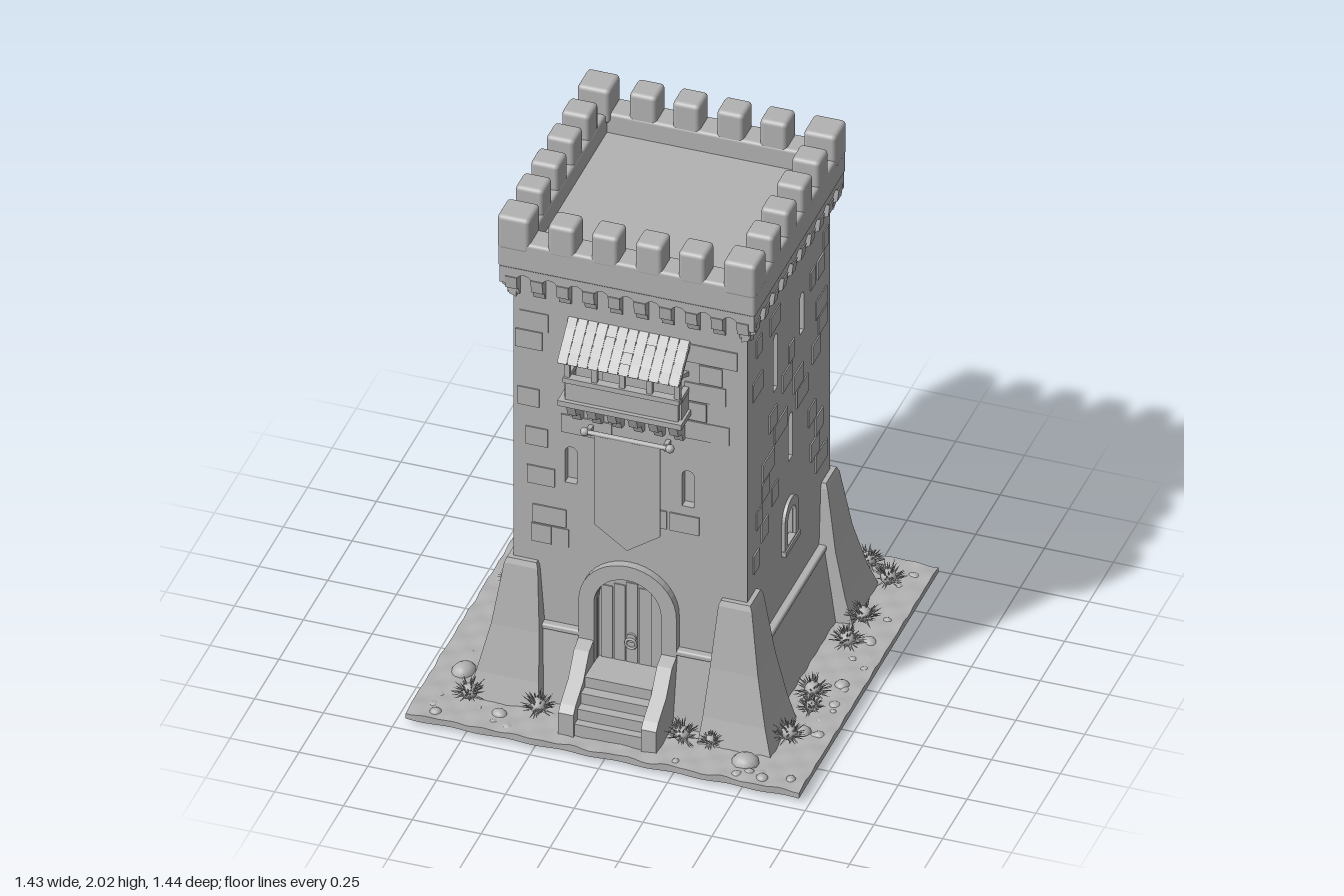
import * as THREE from 'three';
import { mergeGeometries } from 'three/addons/utils/BufferGeometryUtils.js';
import { RoundedBoxGeometry } from 'three/addons/geometries/RoundedBoxGeometry.js';

const stone = new THREE.MeshStandardMaterial({ color: 0xb2b2b2 });
stone.name = 'grey stone';

let seed = 7;
const rnd = () => (seed = (seed * 16807) % 2147483647) / 2147483647;
const span = (a, b) => a + (b - a) * rnd();

function add(parent, name, geo, x = 0, y = 0, z = 0) {
  const m = new THREE.Mesh(geo, stone);
  m.name = name;
  m.position.set(x, y, z);
  parent.add(m);
  return m;
}
// Box given by its limits on each axis
const block = (p, name, x0, x1, y0, y1, z0, z1, r = 0) => add(p, name,
  r ? new RoundedBoxGeometry(x1 - x0, y1 - y0, z1 - z0, 2, r) : new THREE.BoxGeometry(x1 - x0, y1 - y0, z1 - z0),
  (x0 + x1) / 2, (y0 + y1) / 2, (z0 + z1) / 2);
const extrude = (shape, depth) => new THREE.ExtrudeGeometry(shape, { depth, bevelEnabled: false, curveSegments: 10 });
const poly = pts => new THREE.Shape(pts.map(p => new THREE.Vector2(...p)));
// Extrude a (z, y) profile along x from x0 to x1
function sideProfile(p, name, pts, x0, x1) {
  const m = add(p, name, extrude(poly(pts), x1 - x0), x1);
  m.rotation.y = -Math.PI / 2;
  return m;
}
// Round-headed outline: half width w, bottom y0, crown y1
function arch(w, y0, y1, x = 0, Type = THREE.Shape) {
  const s = new Type();
  s.moveTo(x - w, y0); s.lineTo(x + w, y0); s.lineTo(x + w, y1 - w);
  s.absarc(x, y1 - w, w, 0, Math.PI, false);
  s.lineTo(x - w, y0);
  return s;
}

// Openings for each side: [u, bottom, top, half width]
const SIDES = [
  { name: 'front', angle: 0, half: 0.425, slits: [[-0.215, 0.91, 1.06, 0.022], [0.21, 0.91, 1.06, 0.022]] },
  { name: 'left', angle: Math.PI / 2, half: 0.39, niche: 0.62,
    slits: [[-0.135, 1.26, 1.49, 0.02], [0.135, 1.32, 1.485, 0.02], [0.02, 0.87, 1.06, 0.02]] },
  { name: 'back', angle: Math.PI, half: 0.425, niche: 0.56,
    slits: [[-0.16, 1.32, 1.53, 0.02], [0.17, 1.32, 1.54, 0.02], [-0.22, 0.88, 1.06, 0.02], [0.2, 0.91, 1.09, 0.02]] },
  { name: 'right', angle: -Math.PI / 2, half: 0.39, niche: 0.62,
    slits: [[-0.19, 1.28, 1.5, 0.02], [0.13, 1.33, 1.5, 0.02], [-0.05, 0.88, 1.09, 0.02]] },
];

function wallSide(tower, { name, angle, half, slits, niche }) {
  const g = new THREE.Group();
  g.name = name + 'Side';
  g.rotation.y = angle;
  tower.add(g);

  // Wall face with window and door openings
  const wall = poly([[-half, 0.02], [half, 0.02], [half, 1.8], [-half, 1.8]]);
  for (const [u, a, b, w] of slits) wall.holes.push(arch(w, a, b, u, THREE.Path));
  if (niche) wall.holes.push(arch(0.04, niche - 0.08, niche + 0.06, 0, THREE.Path));
  else wall.holes.push(arch(0.12, 0.1, 0.57, 0, THREE.Path));
  add(g, 'wall', extrude(wall, 0.035), 0, 0, 0.39);

  // Arched surround, inner light and sill of the low window
  if (niche) {
    const ring = arch(0.072, niche - 0.09, niche + 0.1);
    ring.holes.push(arch(0.042, niche - 0.075, niche + 0.062, 0, THREE.Path));
    add(g, 'windowSurround', extrude(ring, 0.025), 0, 0, 0.412);
    block(g, 'windowSill', -0.075, 0.075, niche - 0.1, niche - 0.08, 0.41, 0.442);
  }

  // Slightly raised stones, kept clear of openings
  const stones = [];
  for (let y = 0.64; y < 1.6; y += 0.08) {
    for (let k = 0; k < 3; k++) {
      const w = span(0.05, 0.12), u = span(-0.42 + w / 2, 0.42 - w / 2), h = 0.074;
      const hit = slits.some(s => Math.abs(s[0] - u) < w / 2 + 0.04 && y + h > s[1] - 0.02 && y < s[2] + 0.02);
      if (hit || (Math.abs(u) < 0.17 && y < 0.75)) continue;
      stones.push(new THREE.BoxGeometry(w, h, 0.01).translate(u, y + h / 2, 0.4235 + span(0, 0.002)));
    }
  }
  add(g, 'raisedStones', mergeGeometries(stones));

  // Battered plinth with a moulding; the front one leaves room for the door
  for (const [a, b] of niche ? [[-0.36, 0.36]] : [[-0.36, -0.17], [0.17, 0.36]]) {
    sideProfile(g, 'plinth', [[0.4, 0.01], [0.495, 0.01], [0.445, 0.3], [0.4, 0.3]], a, b);
    block(g, 'plinthMoulding', a, b, 0.295, 0.318, 0.4, 0.452, 0.008);
  }

  // Arched corbel table below the parapet
  const n = 10, pitch = 0.0935, band = new THREE.Shape();
  band.moveTo(-0.462, 1.8); band.lineTo(-0.462, 1.72);
  for (let i = 0; i < n - 1; i++) {
    const c = (i - (n - 2) / 2) * pitch;
    band.lineTo(c - 0.028, 1.72);
    band.absarc(c, 1.735, 0.028, Math.PI, 0, true);
    band.lineTo(c + 0.028, 1.72);
  }
  band.lineTo(0.462, 1.72); band.lineTo(0.462, 1.8);
  add(g, 'corbelArches', extrude(band, 0.045), 0, 0, 0.417);
  for (let i = 0; i < n; i++) {
    const c = (i - (n - 1) / 2) * pitch;
    sideProfile(g, 'corbel', [[0.41, 1.655], [0.435, 1.665], [0.442, 1.69], [0.46, 1.7], [0.466, 1.75], [0.41, 1.75]], c - 0.021, c + 0.021);
  }

  // Parapet and merlons
  block(g, 'parapet', -0.468, 0.468, 1.785, 1.9, 0.365, 0.468, 0.012);
  for (const c of [-0.237, -0.08, 0.08, 0.237])
    block(g, 'merlon', c - 0.049, c + 0.049, 1.87, 2, 0.367, 0.469, 0.016);
  block(g, 'cornerMerlon', 0.352, 0.47, 1.86, 2, 0.352, 0.47, 0.016);
  return g;
}

// Flared corner buttress: square rings lofted upwards
function buttress() {
  const rings = [[0, 0.288, 0.562], [0.12, 0.298, 0.525], [0.3, 0.31, 0.485], [0.54, 0.328, 0.45], [0.56, 0.335, 0.442]];
  const pos = [];
  const corner = ([y, a, b], i) => [[a, y, b], [b, y, b], [b, y, a], [a, y, a]][i % 4];
  const quad = (a, b, c, d) => pos.push(...a, ...b, ...c, ...a, ...c, ...d);
  for (let r = 0; r < rings.length - 1; r++)
    for (let i = 0; i < 4; i++)
      quad(corner(rings[r], i), corner(rings[r], i + 1), corner(rings[r + 1], i + 1), corner(rings[r + 1], i));
  const top = rings[rings.length - 1];
  quad(corner(top, 0), corner(top, 1), corner(top, 2), corner(top, 3));
  const g = new THREE.BufferGeometry();
  g.setAttribute('position', new THREE.Float32BufferAttribute(pos, 3));
  g.computeVertexNormals();
  return g;
}

function entrance(g) {
  const ring = arch(0.178, 0.02, 0.63);
  ring.holes.push(arch(0.122, 0.03, 0.572, 0, THREE.Path));
  add(g, 'doorSurround', extrude(ring, 0.05), 0, 0, 0.405);
  add(g, 'door', extrude(arch(0.122, 0.1, 0.572), 0.02), 0, 0, 0.385);
  for (let i = -2; i <= 2; i++) block(g, 'doorPlank', i * 0.045 - 0.02, i * 0.045 + 0.02, 0.19, 0.53 - Math.abs(i) * 0.015, 0.4, 0.409);
  add(g, 'doorPlate', new THREE.CylinderGeometry(0.018, 0.018, 0.012, 12), 0, 0.305, 0.412).rotation.x = Math.PI / 2;
  add(g, 'doorRing', new THREE.TorusGeometry(0.019, 0.005, 6, 16), 0, 0.285, 0.42);
  [[0.2, 0.545], [0.158, 0.585], [0.115, 0.62], [0.072, 0.65]].forEach(([y, z]) =>
    block(g, 'step', -0.13, 0.13, 0.01, y, 0.4, z));
  for (const x of [-0.178, 0.123])
    sideProfile(g, 'stairCheek', [[0.42, 0.01], [0.662, 0.01], [0.662, 0.115], [0.64, 0.14], [0.56, 0.19], [0.5, 0.275], [0.45, 0.295], [0.42, 0.295]], x, x + 0.055);
}

function balcony(g) {
  block(g, 'balconyFloor', -0.228, 0.222, 1.3, 1.322, 0.42, 0.53);
  block(g, 'balconyPanel', -0.205, 0.205, 1.32, 1.4, 0.495, 0.515);
  block(g, 'balconyRail', -0.212, 0.212, 1.395, 1.415, 0.49, 0.522);
  block(g, 'balconyBeam', -0.212, 0.212, 1.485, 1.503, 0.49, 0.515);
  for (const x of [-0.2, -0.1, 0, 0.1, 0.2]) block(g, 'balconyPost', x - 0.01, x + 0.01, 1.4, 1.5, 0.495, 0.514);
  for (const x of [-0.205, 0.205]) {
    block(g, 'balconySidePanel', x - 0.008, x + 0.008, 1.32, 1.4, 0.42, 0.5);
    block(g, 'balconySideRail', x - 0.01, x + 0.01, 1.395, 1.415, 0.42, 0.5);
    sideProfile(g, 'roofBrace', [[0.42, 1.46], [0.43, 1.46], [0.51, 1.5], [0.51, 1.512], [0.42, 1.475]], x - 0.008, x + 0.008);
  }
  // Sloping roof with overlapping courses
  sideProfile(g, 'balconyRoof', [[0.42, 1.605], [0.42, 1.585], [0.53, 1.485], [0.538, 1.495]], -0.225, 0.218);
  for (let r = 0; r < 4; r++) for (let i = 0; i < 12; i++) {
    const t = add(g, 'roofTile', new THREE.BoxGeometry(0.034, 0.042, 0.008), -0.207 + i * 0.0369, 1.503 + r * 0.0285, 0.528 - r * 0.03);
    t.rotation.x = -0.72 + span(-0.05, 0.05);
  }
  for (const x of [-0.185, -0.112, -0.038, 0.038, 0.112, 0.185])
    sideProfile(g, 'balconyCorbel', [[0.42, 1.195], [0.45, 1.2], [0.465, 1.235], [0.5, 1.25], [0.52, 1.3], [0.42, 1.305]], x - 0.016, x + 0.016);
}

function banner(g) {
  add(g, 'bannerCloth', extrude(poly([[-0.12, 1.16], [-0.12, 0.785], [0, 0.7], [0.12, 0.785], [0.12, 1.16]]), 0.008), 0, 0, 0.452);
  add(g, 'bannerRod', new THREE.CylinderGeometry(0.009, 0.009, 0.31, 10), 0, 1.16, 0.456).rotation.z = Math.PI / 2;
  for (const x of [-0.155, 0.155]) {
    add(g, 'rodKnob', new THREE.SphereGeometry(0.016, 10, 8), x, 1.16, 0.456);
    block(g, 'rodBracket', x * 0.9 - 0.008, x * 0.9 + 0.008, 1.145, 1.175, 0.42, 0.456);
  }
}

// Spiky tuft made of thin cones spreading from one point
function bush(r) {
  const parts = [];
  for (let i = 0; i < 60; i++) {
    const len = r * span(0.8, 1.15), cone = new THREE.ConeGeometry(0.0075, len, 4, 1).translate(0, len / 2, 0);
    cone.rotateZ(-Math.acos(span(0, 1)) * 1.1).rotateY(i * 2.4);
    parts.push(cone);
  }
  parts.push(new THREE.IcosahedronGeometry(r * 0.45, 1).toNonIndexed().translate(0, r * 0.15, 0));
  return mergeGeometries(parts.map(p => p.index ? p.toNonIndexed() : p));
}

function ground(g) {
  const geo = new THREE.BoxGeometry(1.43, 0.025, 1.43, 60, 1, 60), p = geo.attributes.position;
  for (let i = 0; i < p.count; i++) {
    const x = p.getX(i), z = p.getZ(i), wob = 1 + 0.006 * Math.sin(31 * x + 3) * Math.cos(27 * z);
    const bump = p.getY(i) > 0 ? 0.005 * Math.sin(47 * x + 9 * z) * Math.sin(53 * z - 11 * x) : 0;
    p.setXYZ(i, x * wob, p.getY(i) + bump, z * wob);
  }
  geo.computeVertexNormals();
  add(g, 'ground', geo, 0, 0.0125, 0);

  const rock = (x, z, r) => {
    const m = add(g, 'rock', new THREE.SphereGeometry(r, 12, 8), x, 0.018, z);
    m.scale.set(1, span(0.55, 0.8), span(0.75, 1));
    m.rotation.y = span(0, 3);
  };
  [[-0.35, -0.66, 0.035], [-0.14, -0.63, 0.05], [0.085, -0.61, 0.055], [-0.62, -0.23, 0.055], [-0.61, 0.41, 0.05], [0.48, 0.6, 0.05],
    [-0.41, 0.61, 0.03], [0.61, 0.37, 0.035], [0.64, 0.06, 0.03], [-0.02, -0.58, 0.03], [0.64, -0.22, 0.03]].forEach(a => rock(...a));
  for (let i = 0; i < 64; i++) {
    const u = span(-0.67, 0.67), v = span(0.59, 0.68) * (i % 2 ? 1 : -1);
    if (i % 4 < 2) rock(v, u, span(0.012, 0.024));
    else if (v < 0 || Math.abs(u) > 0.22) rock(u, v, span(0.012, 0.024));
  }
  [[-0.53, -0.6], [-0.245, -0.605], [0.255, -0.6], [0.5, -0.6], [0.6, -0.53], [-0.62, -0.48], [0.595, -0.29], [0.59, -0.135],
    [-0.55, -0.28, 0.045], [-0.6, -0.1], [-0.55, 0.145, 0.045], [0.58, 0.19], [0.605, 0.285, 0.05], [0.59, 0.46], [-0.525, 0.595],
    [-0.275, 0.595], [0.245, 0.59], [0.35, 0.59, 0.045]].forEach(([x, z, r = 0.066]) => add(g, 'bush', bush(r), x, 0.07, z));
}

export function createModel() {
  const model = new THREE.Group();
  model.name = 'watchtower';
  ground(model);

  const tower = new THREE.Group();
  tower.name = 'tower';
  model.add(tower);
  block(tower, 'core', -0.393, 0.393, 0.015, 1.82, -0.393, 0.393);
  for (const side of SIDES) {
    const g = wallSide(tower, side);
    add(g, 'cornerButtress', buttress());
    if (side.name === 'front') { entrance(g); balcony(g); banner(g); }
  }
  return model;
}
